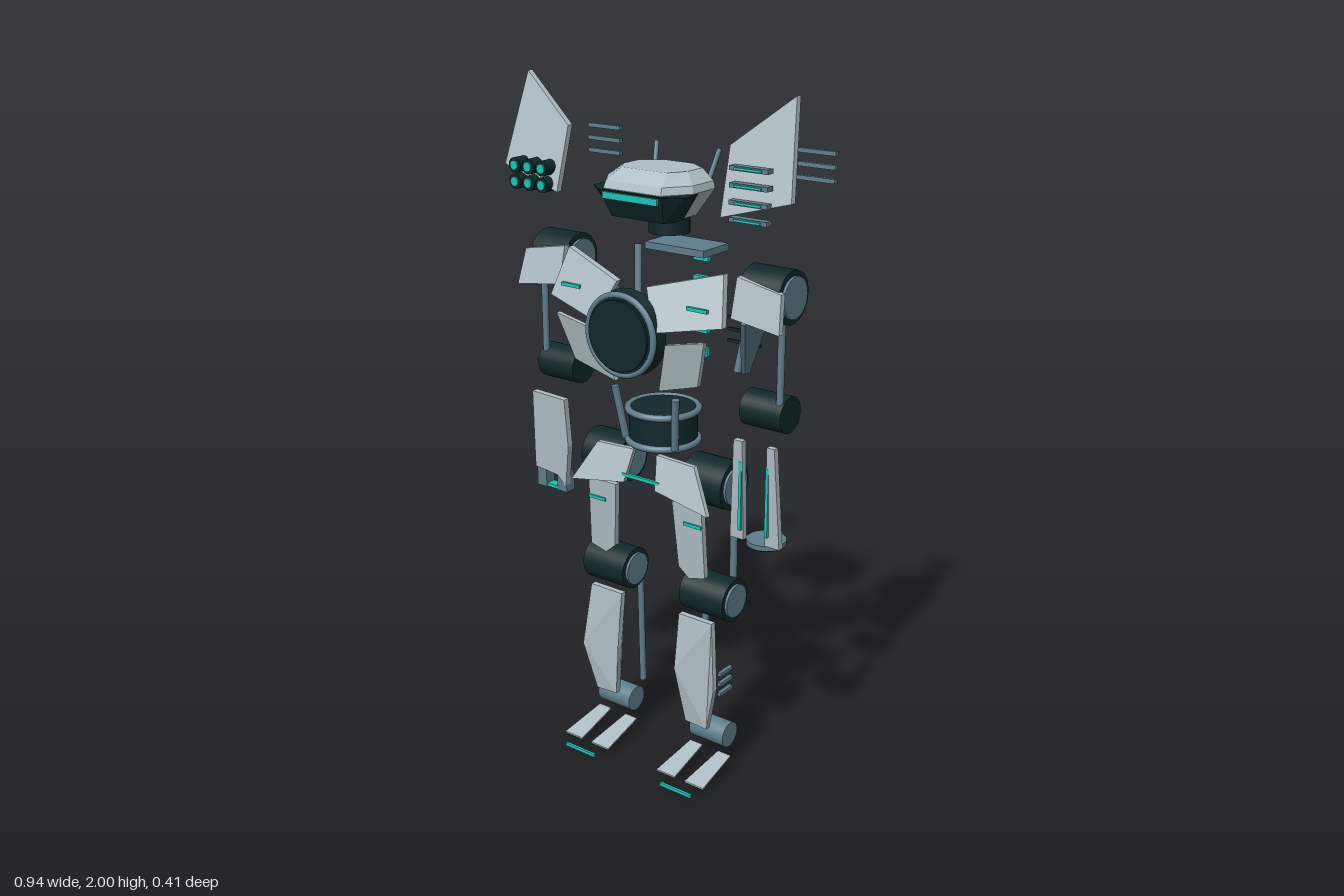
import * as THREE from 'three';

const material = (name, color) => {
  const m = new THREE.MeshStandardMaterial({ color });
  m.name = name;
  return m;
};

export function createModel() {
  const root = new THREE.Group();
  root.name = 'robot';
  const armor = material('paleArmor', 0xb0bec5);
  const slate = material('slateMetal', 0x607d8b);
  const dark = material('darkJoint', 0x10282b);
  const teal = material('tealGlow', 0x1fc4b8);
  armor.flatShading = false;

  const add = (name, geo, mat, x = 0, y = 0, z = 0) => {
    const m = new THREE.Mesh(geo, mat);
    m.name = name;
    m.position.set(x, y, z);
    root.add(m);
    return m;
  };
  const box = (name, mat, w, h, d, x, y, z) => add(name, new THREE.BoxGeometry(w, h, d), mat, x, y, z);
  // Cylinder lying along x, or along z
  const drumX = (name, mat, r, len, x, y, z) =>
    add(name, new THREE.CylinderGeometry(r, r, len, 28).rotateZ(Math.PI / 2), mat, x, y, z);
  const drumZ = (name, mat, rFront, rBack, len, x, y, z) =>
    add(name, new THREE.CylinderGeometry(rFront, rBack, len, 32).rotateX(Math.PI / 2), mat, x, y, z);
  // Joint drum with a slate cap on both ends
  const joint = (name, r, len, x, y, z) => {
    drumX(name, dark, r, len, x, y, z);
    drumX(name + 'Cap', slate, r * 0.78, len + 0.016, x, y, z);
  };
  // Round rod between two points
  const rod = (name, mat, r, a, b) => {
    const p = new THREE.Vector3(...a), q = new THREE.Vector3(...b);
    const dir = q.clone().sub(p);
    const m = add(name, new THREE.CylinderGeometry(r, r, dir.length(), 12), mat);
    m.position.copy(p.add(q).multiplyScalar(0.5));
    m.quaternion.setFromUnitVectors(new THREE.Vector3(0, 1, 0), dir.normalize());
  };
  // Flat armor outline in x and y, leaned in depth by a rule
  const plate = (name, mat, side, pts, depth, lean) => {
    const shape = new THREE.Shape(pts.map(([x, y]) => new THREE.Vector2(x * side, y)));
    const geo = new THREE.ExtrudeGeometry(shape, { depth, bevelEnabled: false });
    const p = geo.attributes.position;
    for (let i = 0; i < p.count; i++) p.setZ(i, p.getZ(i) + lean(Math.abs(p.getX(i)), p.getY(i)));
    geo.computeVertexNormals();
    return add(name, geo, mat);
  };
  // Faceted solid through octagonal rings: [y, half width, front z, back z, front half width, back half width]
  const octLoft = (name, mat, rings) => {
    const loops = rings.map(([y, w, f, b, fw, bw]) => {
      const zf = f - (f - b) * 0.32, zb = b + (f - b) * 0.25;
      return [[fw, f], [w, zf], [w, zb], [bw, b], [-bw, b], [-w, zb], [-w, zf], [-fw, f]].map(([x, z]) => [x, y, z]);
    });
    const v = [];
    const tri = (a, b, c) => v.push(...a, ...b, ...c);
    for (let k = 0; k + 1 < loops.length; k++) for (let i = 0; i < 8; i++) {
      const j = (i + 1) % 8, lo = loops[k], hi = loops[k + 1];
      tri(lo[i], lo[j], hi[j]);
      tri(lo[i], hi[j], hi[i]);
    }
    const first = loops[0], last = loops[loops.length - 1];
    for (let i = 1; i < 7; i++) {
      tri(last[0], last[i], last[i + 1]);
      tri(first[0], first[i + 1], first[i]);
    }
    const geo = new THREE.BufferGeometry();
    geo.setAttribute('position', new THREE.Float32BufferAttribute(v, 3));
    geo.computeVertexNormals();
    return add(name, geo, mat);
  };

  // Head
  octLoft('helmet', armor, [
    [1.655, 0.095, 0.098, -0.058, 0.07, 0.04],
    [1.73, 0.145, 0.138, -0.092, 0.095, 0.055],
    [1.75, 0.14, 0.13, -0.088, 0.092, 0.055],
    [1.78, 0.105, 0.085, -0.072, 0.075, 0.045],
  ]);
  octLoft('faceMask', dark, [
    [1.653, 0.1, 0.115, 0.03, 0.085, 0.09],
    [1.728, 0.152, 0.145, 0.03, 0.105, 0.14],
  ]);
  box('visor', teal, 0.18, 0.018, 0.009, 0, 1.714, 0.145);
  add('neck', new THREE.CylinderGeometry(0.057, 0.057, 0.07, 28), dark, 0, 1.632, -0.027);
  box('collar', slate, 0.2, 0.02, 0.12, 0, 1.542, -0.108);

  // Chest reactor and spine
  drumZ('reactorHousing', dark, 0.105, 0.12, 0.05, 0, 1.355, 0.172);
  add('reactorRing', new THREE.TorusGeometry(0.11, 0.009, 10, 40), slate, 0, 1.355, 0.19);
  drumZ('reactorLens', dark, 0.098, 0.098, 0.01, 0, 1.355, 0.2);
  for (let i = 0; i < 5; i++) box('spineLight', teal, 0.05, 0.026, 0.016, 0, 1.5 - i * 0.07, -0.182);

  // Waist and pelvis
  add('waist', new THREE.CylinderGeometry(0.098, 0.098, 0.1, 32), dark, 0, 1.055, 0);
  for (const y of [1.008, 1.1])
    add('waistRing', new THREE.TorusGeometry(0.1, 0.01, 10, 36).rotateX(Math.PI / 2), slate, 0, y, 0);
  add('waistBase', new THREE.CylinderGeometry(0.1, 0.1, 0.01, 32), slate, 0, 1.002, 0);
  box('beltLight', teal, 0.13, 0.01, 0.009, 0, 0.915, 0.105);

  for (const s of [1, -1]) {
    // Head antennas
    rod('antenna', slate, 0.007, [s * 0.105, 1.82, -0.11], [s * 0.085, 1.7, -0.067]);

    // Shoulder shields and rear fins
    plate('shoulderShield', armor, s, [[0.435, 2], [0.265, 1.87], [0.27, 1.695], [0.47, 1.75]], 0.018,
      (x, y) => 0.103 - (y - 1.7) * 0.27);
    for (let i = 0; i < 3; i++) {
      box('rearFin', slate, 0.116, 0.012, 0.014, s * 0.357, 1.826 - i * 0.036, -0.196);
      box('backVent', dark, 0.11, 0.009, 0.008, s * 0.16, 1.345 - i * 0.034, -0.163);
      box('calfVent', slate, 0.012, 0.011, 0.06, s * 0.234, 0.342 - i * 0.032, 0.013);
    }

    // Torso plates, side panels and back struts
    plate('chestPlate', armor, s, [[0.26, 1.54], [0.05, 1.485], [0.1, 1.375], [0.29, 1.41]], 0.02,
      (x, y) => 0.148 - (y - 1.4) * 0.4 - (x - 0.1) * 0.15);
    box('chestLight', teal, 0.065, 0.01, 0.009, s * 0.213, 1.448, 0.138);
    plate('ribPlate', armor, s, [[0.25, 1.37], [0.12, 1.34], [0.075, 1.195], [0.21, 1.235]], 0.015,
      (x, y) => 0.105 + (y - 1.19) * 0.22);
    const panel = new THREE.ExtrudeGeometry(new THREE.Shape([
      [0, 1.385], [0.05, 1.45], [0.125, 1.42], [0.125, 1.21], [0.1, 1.21],
    ].map(([z, y]) => new THREE.Vector2(z, y))), { depth: 0.014, bevelEnabled: false }).rotateY(Math.PI / 2);
    const pp = panel.attributes.position;
    for (let i = 0; i < pp.count; i++) pp.setX(i, pp.getX(i) + s * (0.2 + (pp.getY(i) - 1.21) * 0.36) - 0.007);
    panel.computeVertexNormals();
    add('sidePanel', panel, slate);
    rod('backStrut', slate, 0.011, [s * 0.21, 1.51, -0.16], [s * 0.175, 1.21, -0.108]);

    // Shoulders and upper arms
    joint('shoulder', 0.073, 0.125, s * 0.355, 1.485, 0);
    plate('shoulderPlate', armor, s, [[0.43, 1.51], [0.29, 1.535], [0.29, 1.43], [0.442, 1.41]], 0.018,
      (x, y) => 0.085 - (y - 1.41) * 0.25);
    rod('armPiston', slate, 0.01, [s * 0.405, 1.42, 0.03], [s * 0.405, 1.2, 0.03]);
    drumX('elbow', dark, 0.051, 0.13, s * 0.355, 1.165, 0);

    // Hips and thighs
    rod('waistStrut', slate, 0.011, [s * 0.105, 1.165, 0.085], [s * 0.086, 1.01, 0.062]);
    joint('hip', 0.07, 0.135, s * 0.178, 0.92, 0);
    plate('hipPlate', armor, s, [[0.17, 0.985], [0.04, 0.99], [0.055, 0.895], [0.24, 0.865]], 0.015,
      (x, y) => 0.11 - (y - 0.86) * 0.3);
    plate('thighPlate', armor, s, [[0.2, 0.87], [0.1, 0.87], [0.115, 0.67], [0.15, 0.64], [0.205, 0.655]], 0.018,
      (x, y) => 0.062 + (y - 0.64) * 0.06);
    box('thighLight', teal, 0.06, 0.01, 0.009, s * 0.17, 0.812, 0.091);
    rod('thighPiston', slate, 0.011, [s * 0.225, 0.87, -0.033], [s * 0.225, 0.6, -0.033]);
    joint('knee', 0.063, 0.15, s * 0.178, 0.57, 0);

    // Shins
    plate('shinPlate', armor, s,
      [[0.22, 0.51], [0.105, 0.51], [0.105, 0.34], [0.13, 0.165], [0.205, 0.16], [0.242, 0.31]], 0.018,
      (x, y) => 0.07 - Math.abs(y - 0.34) * 0.13);
    rod('calfPiston', slate, 0.01, [s * 0.12, 0.52, -0.045], [s * 0.12, 0.165, -0.056]);
    drumX('ankle', slate, 0.039, 0.12, s * 0.175, 0.115, -0.015);

    // Feet: two thin sloping toes each, with a light bar ahead
    for (const cx of [0.227, 0.125]) {
      const toe = new THREE.BoxGeometry(0.066, 0.005, 0.155);
      const p = toe.attributes.position;
      for (let i = 0; i < p.count; i++) {
        const z = p.getZ(i);
        p.setXYZ(i, p.getX(i) * (z < 0 ? 0.68 : 1), p.getY(i) - z * 0.18, z);
      }
      toe.computeVertexNormals();
      add('toe', toe, armor, s * cx, 0.04, 0.078);
    }
    box('toeLight', teal, 0.11, 0.01, 0.008, s * 0.18, 0.005, 0.18);

    // Left forearm blades
    plate('forearmBlade', armor, 1,
      s > 0 ? [[0.396, 1.09], [0.42, 1.09], [0.436, 0.8], [0.39, 0.8]]
        : [[0.29, 1.09], [0.318, 1.09], [0.32, 0.8], [0.276, 0.8]], 0.018, (x, y) => 0.045 + (y - 0.8) * 0.04);
    box('bladeLight', teal, 0.009, 0.2, 0.009, s > 0 ? 0.398 : 0.312, 0.93, 0.069);
  }

  // Left forearm emitter disc
  add('emitter', new THREE.CylinderGeometry(0.056, 0.056, 0.014, 32), slate, 0.355, 0.784, 0);
  add('emitterBase', new THREE.CylinderGeometry(0.05, 0.038, 0.01, 32), dark, 0.355, 0.772, 0);

  // Right forearm plate and two-pronged hand
  plate('forearmPlate', armor, -1,
    [[0.41, 1.09], [0.29, 1.085], [0.283, 0.94], [0.3, 0.81], [0.33, 0.84], [0.415, 0.85]], 0.02,
    (x, y) => 0.06 + (y - 0.8) * 0.04);
  for (const x of [-0.395, -0.317]) box('handProng', slate, 0.035, 0.06, 0.035, x, 0.82, 0.06);
  box('handLight', teal, 0.06, 0.01, 0.03, -0.356, 0.796, 0.06);

  // Right shoulder launch tubes
  for (const x of [-0.405, -0.357, -0.309]) for (const y of [1.757, 1.712]) {
    drumZ('launchTube', dark, 0.021, 0.021, 0.045, x, y, 0.118);
    drumZ('launchLens', teal, 0.013, 0.013, 0.006, x, y, 0.142);
  }

  // Left shoulder louvres
  for (let i = 0; i < 4; i++) {
    const y = 1.825 - i * 0.043;
    box('louvre', slate, 0.114, 0.012, 0.025, 0.357, y, 0.117);
    box('louvreLight', teal, 0.08, 0.006, 0.005, 0.357, y, 0.132);
  }

  return root;
}
